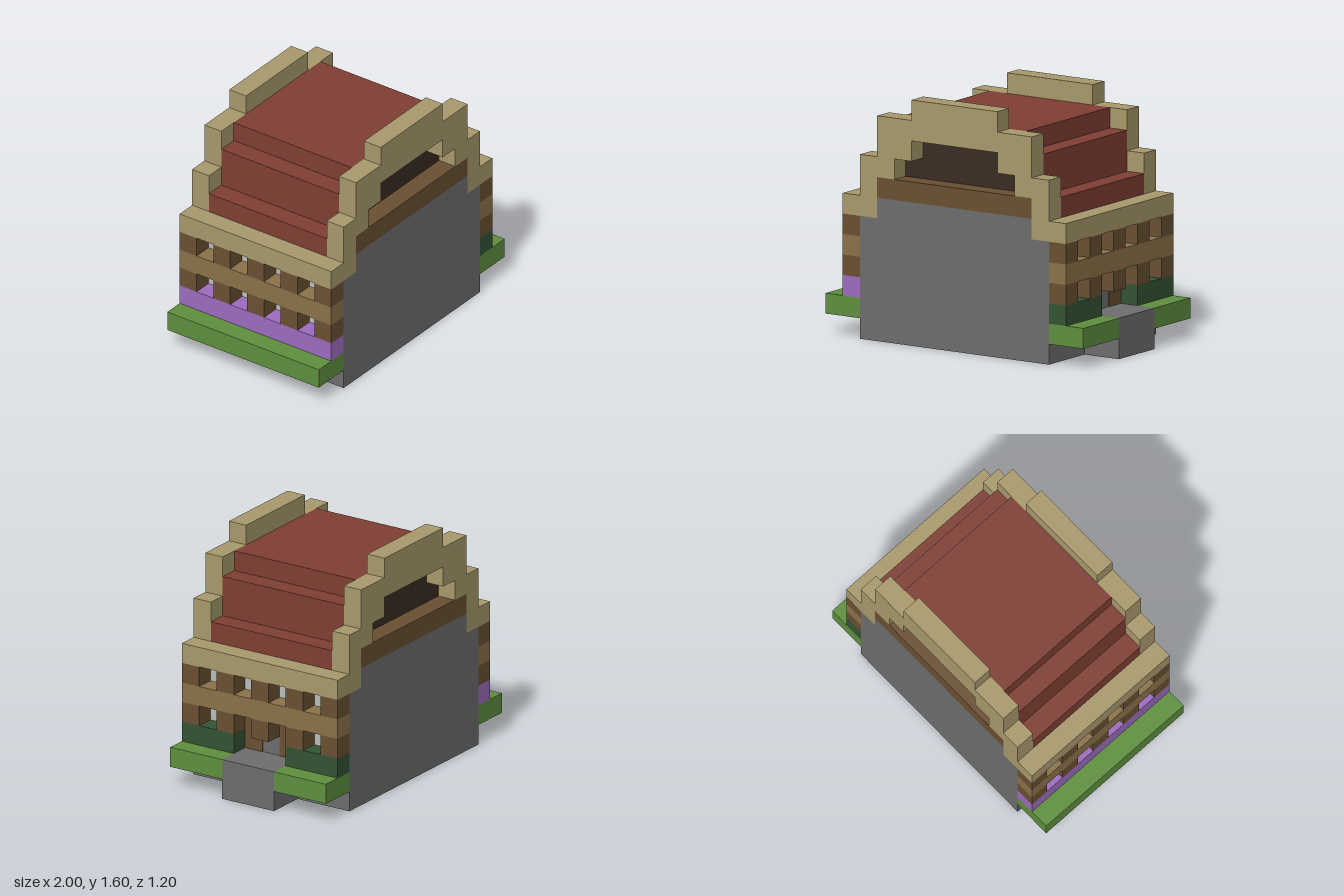
import * as THREE from 'three';

const U = 2 / 15; // block size
const mat = (name, color) => {
  const m = new THREE.MeshStandardMaterial({ color });
  m.name = name;
  return m;
};

export function createModel() {
  const stone = mat('stone grey', 0x6e6e6e);
  const grass = mat('grass green', 0x60903f);
  const hedgeGreen = mat('hedge green', 0x345434);
  const flower = mat('flower purple', 0x9e6cc0);
  const timber = mat('timber brown', 0x6a5033);
  const plank = mat('plank brown', 0x8c734a);
  const sand = mat('sandstone', 0xa99b6d);
  const tile = mat('roof red', 0x803f34);
  const shade = mat('attic dark brown', 0x3b2c22);
  const glass = mat('window pale grey', 0xbdbfbe);

  const model = new THREE.Group();
  model.name = 'house';

  // Box from min/max ranges in block units
  function block(parent, name, m, [x0, x1], [y0, y1], [z0, z1]) {
    const g = new THREE.BoxGeometry((x1 - x0) * U, (y1 - y0) * U, (z1 - z0) * U);
    const mesh = new THREE.Mesh(g, m);
    mesh.position.set((x0 + x1) / 2 * U, (y0 + y1) / 2 * U, (z0 + z1) / 2 * U);
    mesh.name = name;
    parent.add(mesh);
  }

  // Symmetric outline (right half given, mirrored to the left), extruded along z
  function profile(name, m, half, z0, depth) {
    const pts = [...half, ...half.slice().reverse().map(([x, y]) => [-x, y])];
    const shape = new THREE.Shape(pts.map(([x, y]) => new THREE.Vector2(x * U, y * U)));
    const g = new THREE.ExtrudeGeometry(shape, { depth: depth * U, bevelEnabled: false });
    const mesh = new THREE.Mesh(g, m);
    mesh.position.z = z0 * U;
    mesh.name = name;
    model.add(mesh);
  }

  // Stone body and stepped roof
  profile('stoneBody', stone, [[5.5, 0], [5.5, 6], [4.5, 6], [4.5, 7]], -4.5, 9);
  profile('roof', tile,
    [[5.5, 7], [5.5, 8], [4.5, 8], [4.5, 10], [3.5, 10], [3.5, 11]], -3.5, 7);

  // Stepped gables with their beams and recessed attic panels
  const gable = [[2.5, 10], [2.5, 9], [3.5, 9], [3.5, 8], [4.5, 8], [4.5, 6], [6.5, 6],
    [6.5, 7], [5.5, 7], [5.5, 9], [4.5, 9], [4.5, 11], [2.5, 11], [2.5, 12]];
  const attic = [[3.5, 8], [3.5, 9], [2.5, 9], [2.5, 10]];
  for (const [end, s] of [['front', 1], ['back', -1]]) {
    const z0 = s > 0 ? 3.5 : -4.5;
    profile(end + 'Gable', sand, gable, z0, 1);
    block(model, end + 'Beam', timber, [-4.5, 4.5], [7, 8], [z0, z0 + 1]);
    profile(end + 'AtticPanel', shade, attic, s > 0 ? 3.5 : -3.54, 0.04);
  }

  // Side walls: rows of timber with window niches
  for (const s of [1, -1]) {
    const wall = new THREE.Group();
    wall.name = s > 0 ? 'leftWall' : 'rightWall';
    model.add(wall);
    const span = (a, b) => (s > 0 ? [a, b] : [-b, -a]);
    const deep = span(5.5, 6.5);
    block(wall, 'eave', sand, deep, [6, 7], [-3.5, 3.5]);
    block(wall, 'plankBand', plank, deep, [4, 5], [-4.5, 4.5]);
    for (const y of [3, 5]) {
      for (const z of [-4, -2, 0, 2, 4]) {
        block(wall, 'post', timber, deep, [y, y + 1], [z - 0.5, z + 0.5]);
      }
      for (const z of [-3, -1, 1, 3]) {
        const doorway = s > 0 && y === 3 && Math.abs(z) === 1;
        if (!doorway) {
          block(wall, 'window', glass, span(5.5, 5.54), [y, y + 1], [z - 0.5, z + 0.5]);
        }
      }
    }
  }

  // Entrance side: path, twin doors, lawn and hedges
  block(model, 'path', stone, [5.5, 7.5], [0, 2], [-1.5, 1.5]);
  for (const s of [1, -1]) {
    const zs = s > 0 ? [1.5, 4.5] : [-4.5, -1.5];
    block(model, 'door', timber, [5.5, 5.54], [2, 4], [s - 0.5, s + 0.5]);
    block(model, 'lawn', grass, [5.5, 7.5], [1, 2], zs);
    block(model, 'hedge', hedgeGreen, [5.5, 6.5], [2, 3], zs);
  }

  // Garden side: lawn and flower bed
  block(model, 'gardenLawn', grass, [-7.5, -5.5], [1, 2], [-4.5, 4.5]);
  block(model, 'flowerBed', flower, [-6.5, -5.5], [2, 3], [-4.5, 4.5]);

  return model;
}
